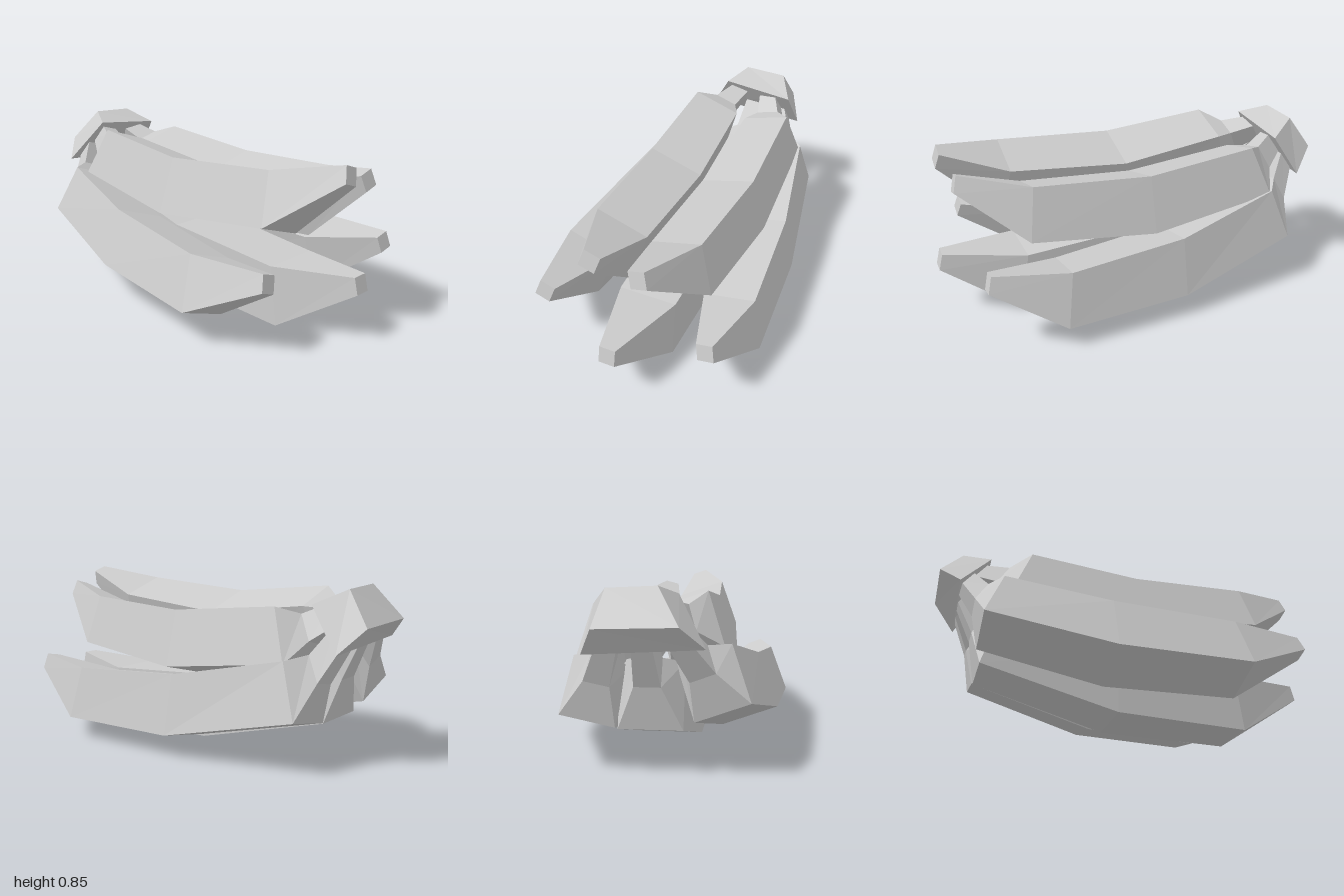
import * as THREE from 'three';

const material = new THREE.MeshStandardMaterial({ color: 0xcccccc, flatShading: true });

// Closed loft through four-cornered rings, ordered front to back.
// Corner order in each ring: bottom right, bottom left, top left, top right.
function loft(name, rings) {
  const index = [];
  const last = (rings.length - 1) * 4;
  for (let i = 0; i < last; i += 4) {
    for (let j = 0; j < 4; j++) {
      const k = (j + 1) % 4;
      index.push(i + j, i + 4 + j, i + 4 + k, i + j, i + 4 + k, i + k);
    }
  }
  index.push(0, 1, 2, 0, 2, 3);
  index.push(last, last + 2, last + 1, last, last + 3, last + 2);
  const indexed = new THREE.BufferGeometry();
  indexed.setAttribute('position', new THREE.Float32BufferAttribute(rings.flat(2), 3));
  indexed.setIndex(index);
  const geometry = indexed.toNonIndexed();
  geometry.computeVertexNormals();
  const mesh = new THREE.Mesh(geometry, material);
  mesh.name = name;
  return mesh;
}

// Square ring with half size r, its top leaning along z, rolled about z
function ring([x, y, z], r, lean, roll) {
  const c = r * Math.cos(roll), s = r * Math.sin(roll);
  return [[-1, -1], [1, -1], [1, 1], [-1, 1]].map(([u, v]) =>
    [x + u * c - v * s, y + u * s + v * c, z + v * lean]);
}

// Every fruit shares one thickness profile along its own bent centre line
function banana(name, roll, size, tip, front, middle, back, neck) {
  const shoulder = back.map((b, i) => THREE.MathUtils.lerp(b, neck[i], 0.4));
  return loft(name, [
    ring(tip, 0.04, -0.01, roll),
    ring(front, 0.133 * size, -0.02, roll),
    ring(middle, 0.147 * size, 0, roll),
    ring(back, 0.13 * size, 0.045, roll),
    ring(shoulder, 0.06, 0.03, roll),
    ring(neck, 0.045, 0.025, roll),
  ]);
}

export function createModel() {
  const group = new THREE.Group();
  group.name = 'bananaBunch';

  // Two fruits on top
  group.add(
    banana('upperLeftBanana', 0.26, 0.97, [0.155, 0.733, 0.905], [0.21, 0.56, 0.59],
      [0.232, 0.515, -0.01], [0.225, 0.59, -0.63], [0.14, 0.71, -0.82]),
    banana('upperRightBanana', -0.33, 0.98, [-0.045, 0.8, 0.945], [-0.115, 0.625, 0.63],
      [-0.135, 0.563, 0], [-0.13, 0.64, -0.6], [-0.04, 0.72, -0.82]),
  );

  // Three fruits below
  group.add(
    banana('lowerMiddleBanana', 0, 1.12, [0.022, 0.29, 0.99], [0.022, 0.15, 0.6],
      [0.025, 0.185, -0.07], [0.025, 0.35, -0.72], [0.04, 0.63, -0.87]),
    banana('lowerLeftBanana', 0.2, 1, [0.435, 0.346, 0.84], [0.43, 0.212, 0.49],
      [0.375, 0.23, -0.12], [0.283, 0.364, -0.725], [0.18, 0.63, -0.87]),
    banana('lowerRightBanana', -0.35, 1, [-0.41, 0.366, 0.81], [-0.42, 0.25, 0.44],
      [-0.345, 0.285, -0.185], [-0.248, 0.415, -0.745], [-0.1, 0.64, -0.87]),
  );

  // Flared crown joining the necks, narrowing to the back
  group.add(loft('crown', [
    [[-0.23, 0.58, -0.9], [0.3, 0.55, -0.89], [0.27, 0.76, -0.75], [-0.1, 0.8, -0.75]],
    [[-0.13, 0.68, -1], [0.23, 0.67, -1], [0.19, 0.83, -0.89], [-0.03, 0.84, -0.89]],
  ]));
  return group;
}
